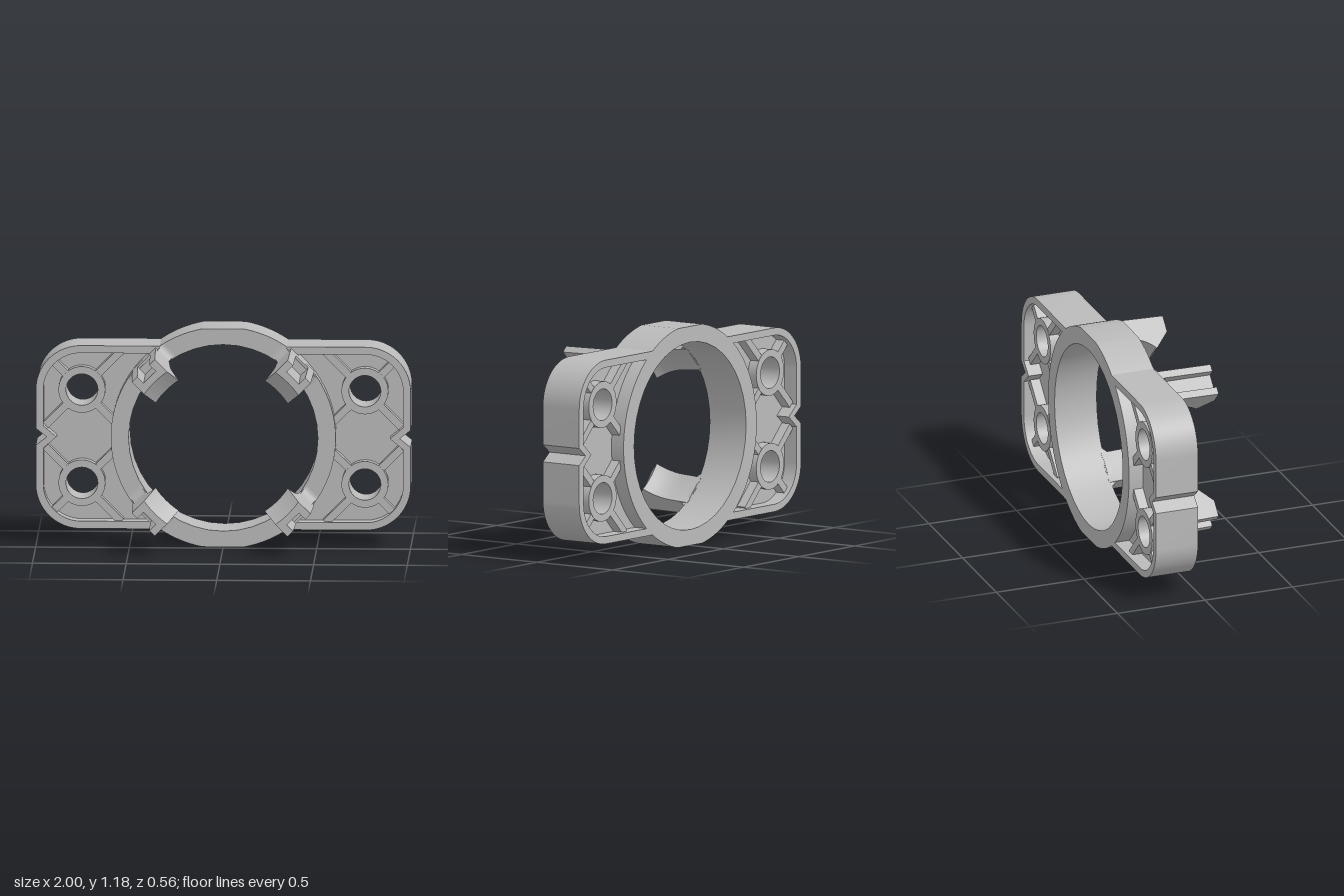
import * as THREE from 'three';
import { toCreasedNormals } from 'three/addons/utils/BufferGeometryUtils.js';

const CENTRE_Y = 0.59, Z_BACK = -0.28, Z_FRONT = -0.04, Z_MID = -0.16;
const RING_OUT = 0.6, RING_IN = 0.505;
const BOSS_X = 0.755, BOSS_Y = 0.2525, HOLE_R = 0.085, BOSS_R = 0.125;

export function createModel() {
  const grey = new THREE.MeshStandardMaterial({ color: 0xbababa });
  grey.name = 'plain grey';
  const model = new THREE.Group();
  model.name = 'mountingBracket';
  const body = new THREE.Group();
  body.name = 'body';
  body.position.y = CENTRE_Y;
  model.add(body);

  const extrude = (shape, depth, z = 0) => toCreasedNormals(
    new THREE.ExtrudeGeometry(shape, { depth, bevelEnabled: false, curveSegments: 20 })
      .translate(0, 0, z), 0.5);
  const add = (geometry, name, parent = body) => {
    const mesh = new THREE.Mesh(geometry, grey);
    mesh.name = name;
    parent.add(mesh);
    return mesh;
  };
  const circle = (x, y, r) => new THREE.Path().absarc(x, y, r, 0, Math.PI * 2, false);
  const flip = (points, sx, sy) => points.map(p => new THREE.Vector2(p.x * sx, p.y * sy));

  // Quarter outline from the notch to the flat crown, mirrored to all sides
  const aPlate = Math.asin(0.495 / RING_OUT), aCrown = Math.asin(0.59 / RING_OUT);
  const quarter = new THREE.Path();
  quarter.moveTo(0.942, 0);
  quarter.lineTo(1, 0.046);
  quarter.absarc(0.76, 0.255, 0.24, 0, Math.PI / 2, false);
  quarter.absarc(0, 0, RING_OUT, aPlate, aCrown, false);
  const q = quarter.getPoints(16);
  const outline = [
    ...q,
    ...flip(q, -1, 1).reverse(),
    ...flip(q, -1, -1).slice(1),
    ...flip(q, 1, -1).reverse().slice(0, -1),
  ];

  // Pocket between the rim and the ring; grow widens it to overlap the walls
  const pocketPoints = (grow) => {
    const top = 0.455 + grow, r = RING_OUT - grow;
    const a = Math.asin(top / r);
    const p = new THREE.Path();
    p.moveTo(0.89 + grow, 0);
    p.lineTo(0.96 + grow, 0.06);
    p.absarc(0.76, 0.255, 0.2 + grow, 0, Math.PI / 2, false);
    p.absarc(0, 0, r, a, 0, true);
    const upper = p.getPoints(20);
    return [...upper, ...flip(upper, 1, -1).reverse().slice(1, -1)];
  };

  // Full-depth frame: outer rim and central ring
  const frame = new THREE.Shape(outline);
  frame.holes.push(circle(0, 0, RING_IN));
  for (const side of [1, -1]) frame.holes.push(new THREE.Path(flip(pocketPoints(0), side, 1)));
  add(extrude(frame, Z_FRONT - Z_BACK, Z_BACK), 'rimAndRing');

  // Recessed webs with screw bosses and diagonal ribs
  const ribEnds = [[1, 1, 0.21], [1, -1, 0.275], [-1, 1, 0.295], [-1, -1, 0.24]];
  const raised = 0.19;
  for (const side of [1, -1]) {
    const web = new THREE.Shape(flip(pocketPoints(0.005), side, 1));
    for (const s of [1, -1]) web.holes.push(circle(side * BOSS_X, s * BOSS_Y, HOLE_R));
    add(extrude(web, 0.08, Z_MID - 0.04), 'web');

    for (const s of [1, -1]) {
      const bossShape = new THREE.Shape().absarc(side * BOSS_X, s * BOSS_Y, BOSS_R, 0, Math.PI * 2, false);
      bossShape.holes.push(circle(side * BOSS_X, s * BOSS_Y, HOLE_R));
      add(extrude(bossShape, raised, Z_MID - raised / 2), 'screwBoss');

      for (const [dx, dy, end] of ribEnds) {
        const start = 0.115, mid = (start + end) / 2 * Math.SQRT1_2;
        const rib = add(new THREE.BoxGeometry(end - start, 0.04, raised - 0.004), 'rib');
        rib.position.set(side * (BOSS_X + dx * mid), s * (BOSS_Y + dy * mid), Z_MID);
        rib.rotation.z = Math.atan2(s * dy, side * dx);
      }
    }
  }

  // Clip side profile: x is distance from the ring axis, y is model z
  const profile = (grooved) => {
    const s = new THREE.Shape();
    s.moveTo(0.503, Z_FRONT - 0.01);
    s.lineTo(0.6, Z_FRONT - 0.01);
    s.lineTo(0.597, 0);
    if (grooved) s.lineTo(0.54, 0);
    s.lineTo(grooved ? 0.54 : 0.588, 0.28);
    s.lineTo(0.503, 0.28);
    s.lineTo(0.42, 0.2);
    s.quadraticCurveTo(0.49, 0.135, 0.494, 0.04);
    s.lineTo(0.503, Z_FRONT - 0.01);
    return s;
  };
  // Slab across the clip, its inner face curved round the ring axis
  const slab = (grooved, v0, v1) => {
    const g = new THREE.ExtrudeGeometry(profile(grooved),
      { depth: v1 - v0, steps: 4, bevelEnabled: false, curveSegments: 12 }).translate(0, 0, v0);
    const p = g.attributes.position;
    for (let i = 0; i < p.count; i++) {
      const r = p.getX(i), v = p.getZ(i);
      if (r < 0.51) p.setX(i, Math.sqrt(r * r - v * v));
    }
    return toCreasedNormals(g, 0.5);
  };
  // Flared foot joining the clip to the ring
  const W = 0.087, F = 0.048;
  const footShape = new THREE.Shape();
  footShape.moveTo(-W - F, Z_FRONT - 0.005);
  footShape.lineTo(W + F, Z_FRONT - 0.005);
  footShape.lineTo(W + F, Z_FRONT);
  footShape.absarc(W + F, Z_FRONT + F, F, -Math.PI / 2, -Math.PI, true);
  footShape.lineTo(-W, Z_FRONT + F);
  footShape.absarc(-W - F, Z_FRONT + F, F, 0, -Math.PI / 2, true);
  const foot = extrude(footShape, 0.085).rotateY(Math.PI / 2).translate(0.499, 0, 0);

  const slabs = [slab(false, -W, -0.046), slab(true, -0.046, 0.046), slab(false, 0.046, W)];
  for (let i = 0; i < 4; i++) {
    const a = Math.PI / 4 + i * Math.PI / 2, c = Math.cos(a), s = Math.sin(a);
    const clip = new THREE.Group();
    clip.name = 'clip';
    const basis = new THREE.Matrix4().makeBasis(
      new THREE.Vector3(c, s, 0), new THREE.Vector3(0, 0, 1), new THREE.Vector3(s, -c, 0));
    clip.quaternion.setFromRotationMatrix(basis);
    slabs.forEach((g, k) => add(g, k === 1 ? 'clipGroove' : 'clipSide', clip));
    // The foot lies in the tangent plane, so its height already maps to model z
    add(foot, 'clipFoot', clip);
    body.add(clip);
  }
  return model;
}
